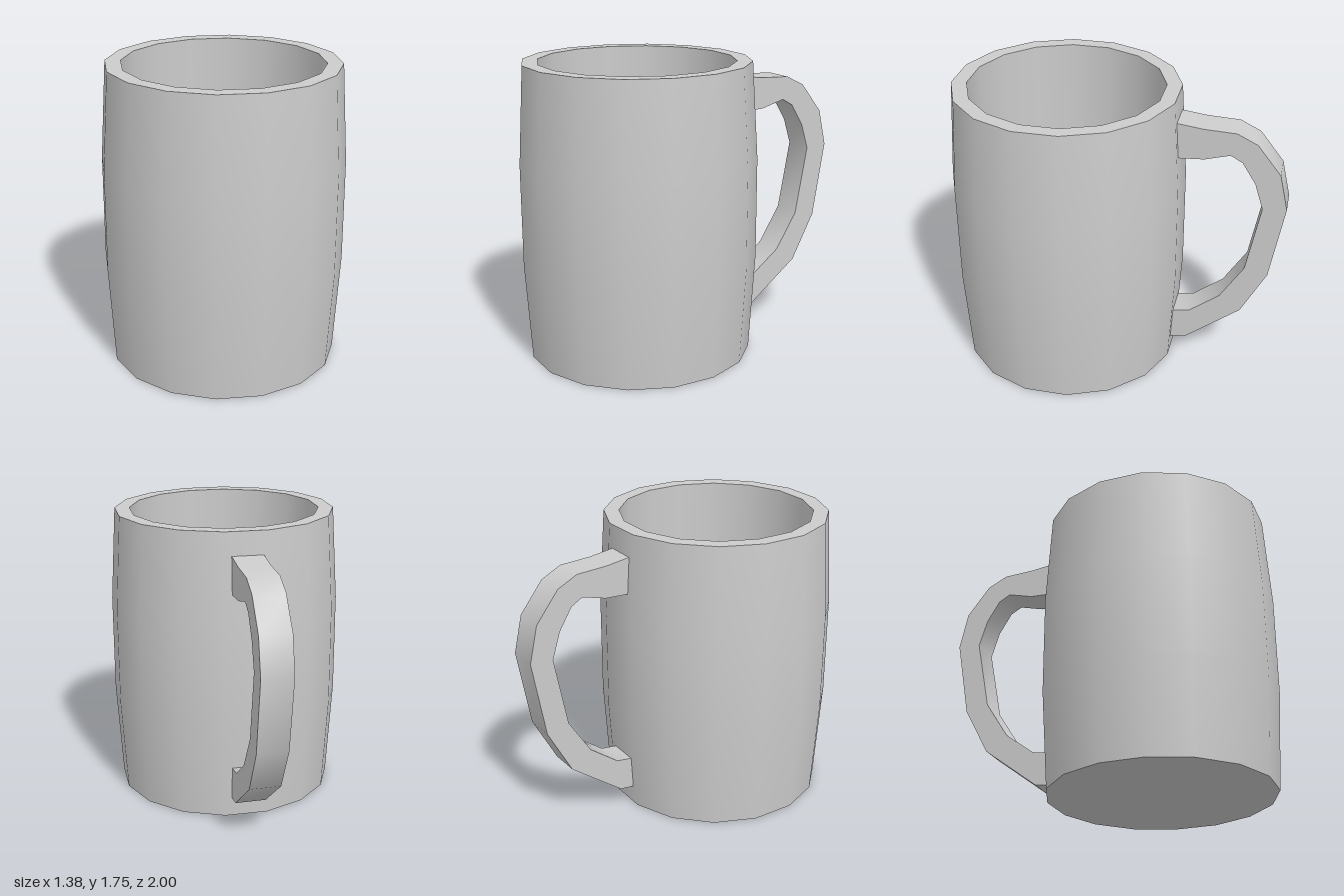
import * as THREE from 'three';
import { toCreasedNormals } from 'three/addons/utils/BufferGeometryUtils.js';

const SIDES = 16;
const HEIGHT = 1.75;
const PHI = THREE.MathUtils.degToRad(10);

export function createModel() {
  const model = new THREE.Group();
  const material = new THREE.MeshStandardMaterial({ color: 0xcccccc });

  // Cup: each surface is its own lathe, so the rims stay sharp
  const cup = new THREE.Group();
  cup.name = 'cup';
  cup.position.z = 0.31;
  model.add(cup);

  const surfaces = {
    cupBase: [[0, 0], [0.665, 0]],
    outerWall: [[0.665, 0], [0.7, 0.58], [0.7, 1.18], [0.665, HEIGHT]],
    rim: [[0.665, HEIGHT], [0.575, HEIGHT]],
    innerWall: [[0.575, HEIGHT], [0.575, 0.09]],
    cupFloor: [[0.575, 0.09], [0, 0.09]],
  };
  for (const [name, profile] of Object.entries(surfaces)) {
    const points = profile.map(([r, y]) => new THREE.Vector2(r, y));
    const mesh = new THREE.Mesh(new THREE.LatheGeometry(points, SIDES, PHI), material);
    mesh.name = name;
    cup.add(mesh);
  }

  // Handle: side outline as [distance behind centre, height], extruded across x
  const outer = [
    [0.32, 1.615], [0.5, 1.59], [0.69, 1.58], [0.81, 1.52], [0.95, 1.34],
    [1, 1.12], [0.92, 0.66], [0.77, 0.38], [0.44, 0.13], [0.32, 0.115],
  ];
  const inner = [
    [0.32, 1.39], [0.51, 1.4], [0.66, 1.44], [0.73, 1.4], [0.81, 1.27],
    [0.86, 1.11], [0.78, 0.69], [0.64, 0.47], [0.46, 0.335], [0.32, 0.315],
  ];
  const outline = new THREE.Shape(
    [...outer, ...inner.reverse()].map(([x, y]) => new THREE.Vector2(x, y))
  );
  const geometry = new THREE.ExtrudeGeometry(outline, { depth: 0.185, bevelEnabled: false });
  geometry.rotateY(Math.PI / 2).translate(-0.08, 0, 0);
  const handle = new THREE.Mesh(toCreasedNormals(geometry, 1), material);
  handle.name = 'handle';
  model.add(handle);

  return model;
}
